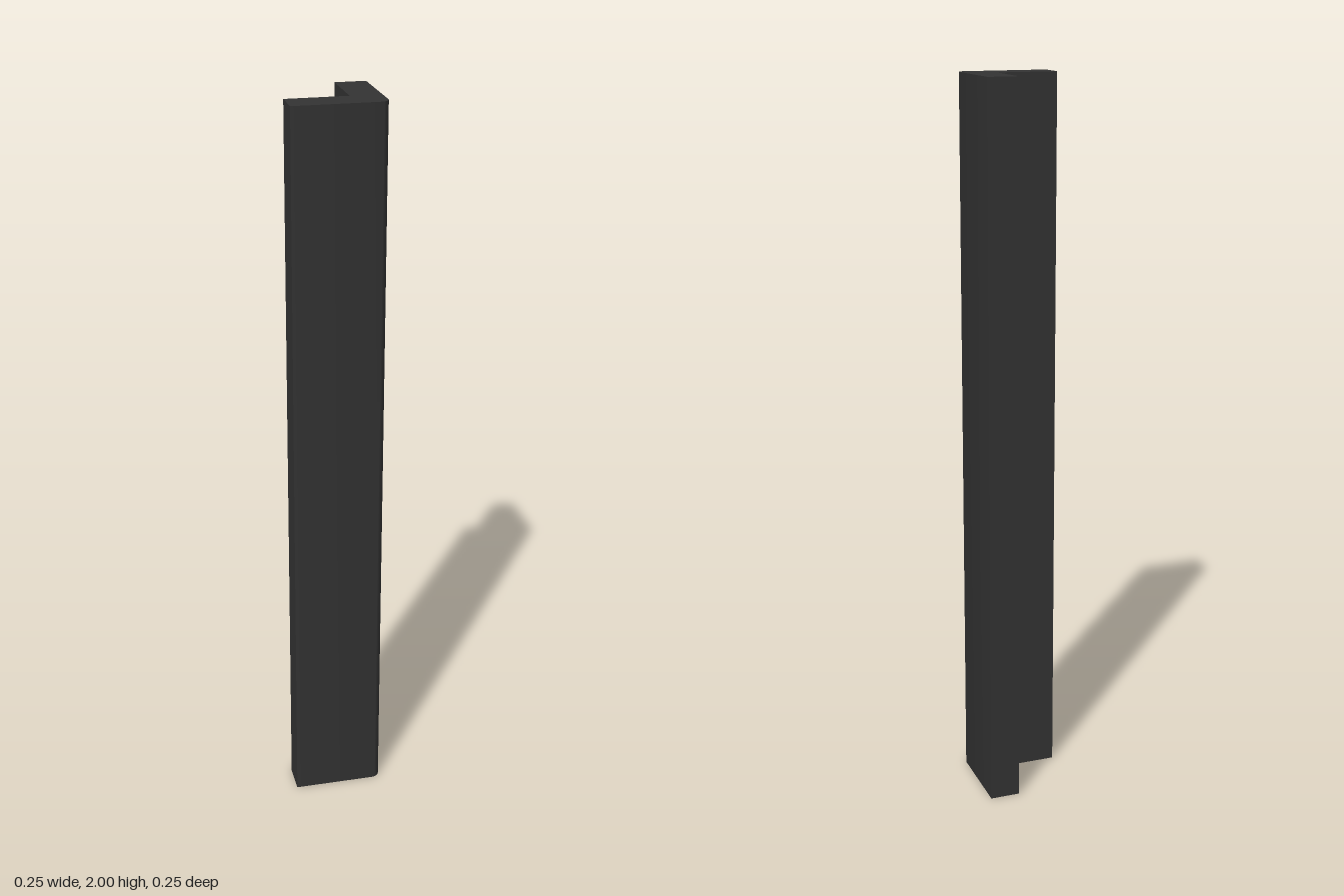
import * as THREE from 'three';
import { toCreasedNormals } from 'three/addons/utils/BufferGeometryUtils.js';

const HEIGHT = 2;
const HALF = 0.125; // half the outer width
const INNER = 0.0415; // inner faces of the two legs
const RADIUS = 0.025; // rounded outer corner

export function createModel() {
  const group = new THREE.Group();
  group.name = 'cornerTrim';

  // L-shaped cross-section; shape y becomes -z once stood upright
  const profile = new THREE.Shape();
  profile.moveTo(-HALF, -HALF);
  profile.lineTo(HALF - RADIUS, -HALF);
  profile.absarc(HALF - RADIUS, -HALF + RADIUS, RADIUS, -Math.PI / 2, 0, false);
  profile.lineTo(HALF, HALF);
  profile.lineTo(INNER, HALF);
  profile.lineTo(INNER, -INNER);
  profile.lineTo(-HALF, -INNER);
  profile.closePath();

  const extruded = new THREE.ExtrudeGeometry(profile, {
    depth: HEIGHT,
    bevelEnabled: false,
    curveSegments: 8,
  });
  extruded.rotateX(-Math.PI / 2);

  // Smooth round corner, sharp everywhere else
  const angleBar = new THREE.Mesh(
    toCreasedNormals(extruded, 0.5),
    new THREE.MeshStandardMaterial({ color: 0x333333 })
  );
  angleBar.name = 'angleBar';
  group.add(angleBar);

  return group;
}
